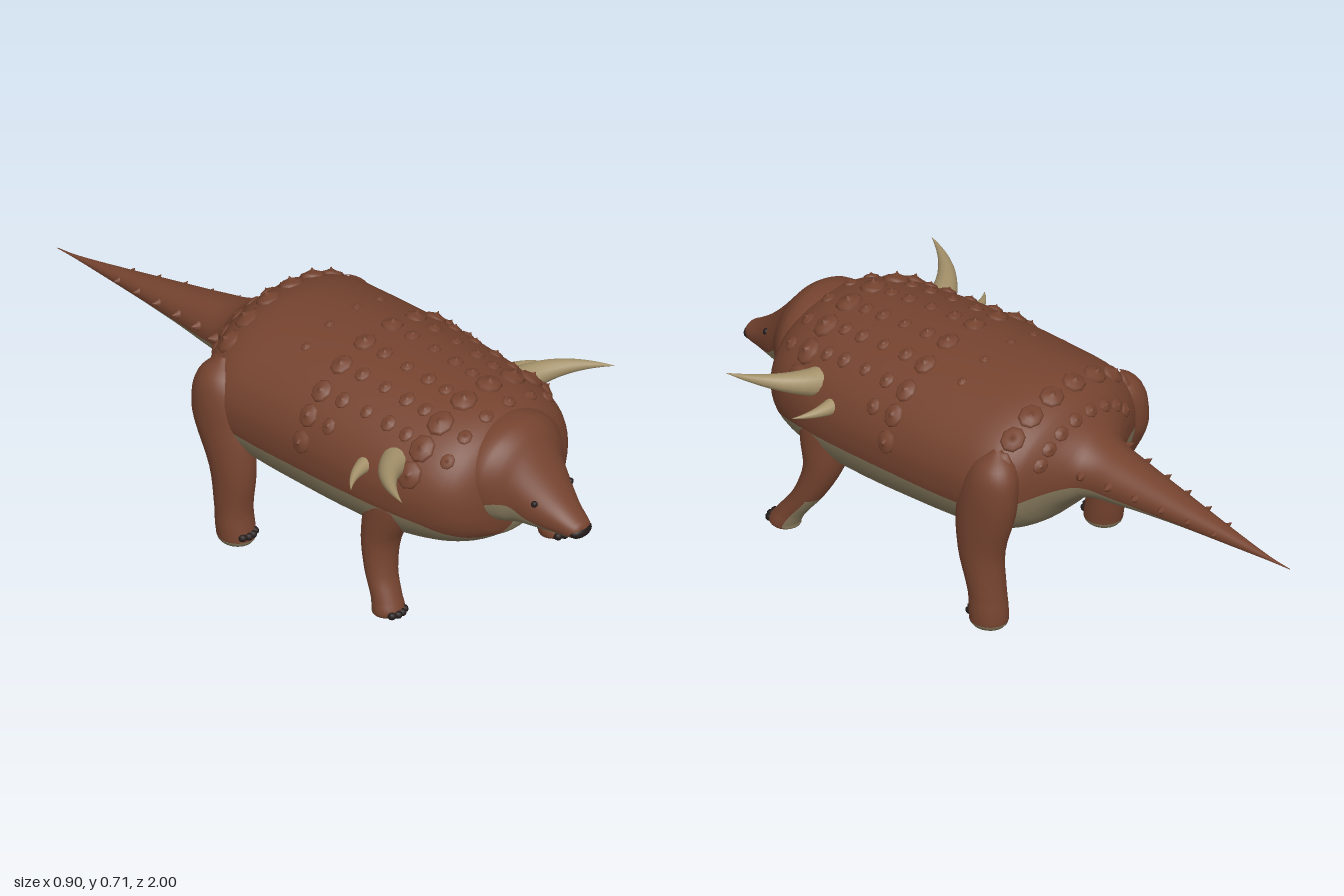
import * as THREE from 'three';

const mat = (name, color) => Object.assign(new THREE.MeshStandardMaterial({ color }), { name });
const hide = mat('brown hide', 0x75432f);
const belly = mat('tan underside', 0x85785c);
const horn = mat('pale horn', 0xa39069);
const dark = mat('dark claw', 0x241b1a);

// Skin a list of closed rings; quads chosen by isTan get the underside colour
function loft(name, rings, isTan, mats = [hide, belly]) {
  const n = rings[0].length, idx = [[], []];
  for (let i = 0; i < rings.length - 1; i++) {
    for (let j = 0; j < n; j++) {
      const k = (j + 1) % n;
      const a = i * n + j, b = i * n + k, c = b + n, d = a + n;
      idx[isTan(i, j) ? 1 : 0].push(a, b, d, b, c, d);
    }
  }
  const geo = new THREE.BufferGeometry().setFromPoints(rings.flat());
  geo.setIndex([...idx[0], ...idx[1]]);
  geo.addGroup(0, idx[0].length, 0);
  geo.addGroup(idx[0].length, idx[1].length, 1);
  geo.computeVertexNormals();
  const mesh = new THREE.Mesh(geo, mats);
  mesh.name = name;
  return mesh;
}

// Smooth interpolation of table rows whose first column increases
function sample(rows, v) {
  let i = 0;
  while (i < rows.length - 2 && rows[i + 1][0] < v) i++;
  const slope = (k, c) => {
    const a = rows[Math.max(k - 1, 0)], b = rows[Math.min(k + 1, rows.length - 1)];
    return (b[c] - a[c]) / (b[0] - a[0]);
  };
  const p = rows[i], q = rows[i + 1], h = q[0] - p[0], t = (v - p[0]) / h;
  const t2 = t * t, t3 = t2 * t;
  return p.map((_, c) => c === 0 ? v :
    (2 * t3 - 3 * t2 + 1) * p[c] + (t3 - 2 * t2 + t) * h * slope(i, c) +
    (3 * t2 - 2 * t3) * q[c] + (t3 - t2) * h * slope(i + 1, c));
}

// Subdivide a table of rows
function refine(rows, steps) {
  const out = [];
  for (let i = 0; i < rows.length - 1; i++) {
    for (let s = 0; s < steps; s++) {
      out.push(sample(rows, rows[i][0] + (rows[i + 1][0] - rows[i][0]) * s / steps));
    }
  }
  out.push(rows[rows.length - 1]);
  return out;
}

// Rows: z, top, bottom, half width, height of the colour edge
const TORSO = [
  [-1, 0.413, 0.411, 0.001, 0.4115], [-0.93, 0.42, 0.41, 0.006, 0.412],
  [-0.8, 0.444, 0.407, 0.022, 0.413], [-0.6, 0.483, 0.404, 0.052, 0.424],
  [-0.4, 0.525, 0.39, 0.083, 0.435], [-0.3, 0.553, 0.375, 0.108, 0.44],
  [-0.25, 0.59, 0.345, 0.18, 0.435], [-0.2, 0.64, 0.285, 0.275, 0.42],
  [-0.12, 0.675, 0.245, 0.325, 0.4], [0, 0.688, 0.225, 0.333, 0.39],
  [0.2, 0.692, 0.215, 0.335, 0.39], [0.35, 0.685, 0.213, 0.333, 0.39],
  [0.5, 0.672, 0.218, 0.322, 0.385], [0.62, 0.655, 0.235, 0.295, 0.37],
  [0.7, 0.622, 0.258, 0.255, 0.335], [0.75, 0.56, 0.285, 0.19, 0.31],
  [0.77, 0.49, 0.31, 0.11, 0.32], [0.775, 0.4, 0.39, 0.005, 0.392],
];
const HEAD = [
  [0.6, 0.6, 0.37, 0.15, 0.4], [0.68, 0.628, 0.345, 0.178, 0.41],
  [0.74, 0.628, 0.338, 0.178, 0.43], [0.78, 0.605, 0.338, 0.15, 0.44],
  [0.81, 0.57, 0.34, 0.118, 0.43], [0.85, 0.52, 0.342, 0.097, 0.395],
  [0.89, 0.475, 0.344, 0.077, 0.375], [0.93, 0.437, 0.345, 0.058, 0.366],
  [0.97, 0.408, 0.347, 0.043, 0.36], [0.99, 0.395, 0.352, 0.03, 0.358],
  [1.0, 0.375, 0.366, 0.005, 0.368],
];

// Point on a section: rounded above, fuller below
function sectionPoint([z, top, bot, w], t, mid = 0.48) {
  const c = Math.cos(t), s = Math.sin(t), cy = bot + (top - bot) * mid;
  if (s >= 0) return new THREE.Vector3(w * c, cy + (top - cy) * s, z);
  const e = 0.82;
  return new THREE.Vector3(w * Math.sign(c) * Math.abs(c) ** e, cy - (cy - bot) * Math.abs(s) ** e, z);
}

function bodyLoft(name, rows) {
  const UP = 36, DOWN = 20;
  const rings = refine(rows, 4).map((r) => {
    const cy = r[2] + (r[1] - r[2]) * 0.48;
    const q = THREE.MathUtils.clamp((r[4] - cy) / (cy - r[2]), -0.97, 0.6);
    const a = q < 0 ? -Math.asin(Math.abs(q) ** (1 / 0.82)) : Math.asin(q);
    const ring = [];
    for (let j = 0; j < UP; j++) ring.push(sectionPoint(r, a + (Math.PI - 2 * a) * j / UP));
    for (let j = 0; j < DOWN; j++) ring.push(sectionPoint(r, Math.PI - a + (Math.PI + 2 * a) * j / DOWN));
    return ring;
  });
  return loft(name, rings, (i, j) => j >= UP);
}

// Horizontal leg sections: -y, x, z, x radius, z radius
const FRONT_LEG = [
  [-0.45, 0.25, 0.5, 0.02, 0.03], [-0.41, 0.25, 0.5, 0.06, 0.08], [-0.34, 0.255, 0.5, 0.066, 0.08],
  [-0.25, 0.265, 0.5, 0.06, 0.058], [-0.15, 0.283, 0.54, 0.05, 0.046], [-0.08, 0.297, 0.59, 0.046, 0.044],
  [-0.045, 0.302, 0.61, 0.048, 0.046], [-0.03, 0.302, 0.605, 0.036, 0.035], [-0.027, 0.302, 0.605, 0.002, 0.002],
];
const REAR_LEG = [
  [-0.58, 0.26, -0.14, 0.01, 0.01], [-0.54, 0.27, -0.14, 0.055, 0.06], [-0.48, 0.282, -0.135, 0.067, 0.085],
  [-0.38, 0.288, -0.12, 0.068, 0.095], [-0.25, 0.296, -0.11, 0.06, 0.073], [-0.12, 0.3, -0.135, 0.055, 0.056],
  [-0.05, 0.303, -0.143, 0.055, 0.058], [-0.018, 0.303, -0.143, 0.046, 0.05], [0, 0.303, -0.143, 0.002, 0.002],
];

function leg(name, rows, side, stride, tanRule) {
  const N = 24, g = new THREE.Group();
  g.name = name;
  const shift = (y) => stride * THREE.MathUtils.clamp((0.4 - y) / 0.36, 0, 1);
  const fine = refine(rows, 4);
  const rings = fine.map(([ny, x, z, rx, rz]) => Array.from({ length: N }, (_, j) => {
    const t = j / N * Math.PI * 2;
    return new THREE.Vector3(side * x + rx * Math.cos(t), -ny, z + shift(-ny) + rz * Math.sin(t));
  }));
  g.add(loft(name + 'Limb', rings, (i, j) => {
    const t = (j + 0.5) / N * Math.PI * 2;
    return tanRule(-fine[i][0], -side * Math.cos(t), Math.sin(t));
  }));
  // Claws
  const [ny, fx, fz, , fr] = rows[6];
  for (let k = 0; k < 4; k++) {
    const o = (k - 1.5) / 1.5;
    const claw = new THREE.Mesh(new THREE.SphereGeometry(0.012, 10, 8), dark);
    claw.name = 'claw';
    claw.position.set(side * fx + o * 0.026, -ny, fz + shift(-ny) + fr - 0.002 - 0.009 * o * o);
    claw.scale.z = 1.25;
    g.add(claw);
  }
  return g;
}

// Curved horn from base through a bend to the tip
function spike(name, pts, r, side) {
  const curve = new THREE.QuadraticBezierCurve3(...pts.map(([x, y, z]) => new THREE.Vector3(side * x, y, z)));
  const S = 10, N = 14, f = curve.computeFrenetFrames(S);
  const rings = Array.from({ length: S + 1 }, (_, i) => Array.from({ length: N }, (_, j) => {
    const t = j / N * Math.PI * 2, rr = r * (1 - i / S) + 0.0005;
    return curve.getPointAt(i / S)
      .addScaledVector(f.normals[i], rr * Math.cos(t)).addScaledVector(f.binormals[i], rr * Math.sin(t));
  }));
  return loft(name, rings, () => false, [horn, horn]);
}

// Low keeled plate
const PLATE = new THREE.LatheGeometry(
  [[1, -0.3], [1, 0.05], [0.85, 0.24], [0.45, 0.36], [0.14, 0.5], [0, 0.72]].map(([x, y]) => new THREE.Vector2(x, y)), 8);
const THORN = new THREE.ConeGeometry(1, 2.2, 8).translate(0, 0.7, 0);

function onTorso(name, geo, z, deg, r) {
  const t = Math.PI / 2 - THREE.MathUtils.degToRad(deg), d = 0.01;
  const at = (zz, tt) => sectionPoint(sample(TORSO, zz), tt);
  const du = at(z, t + d).sub(at(z, t - d)), dv = at(z + d, t).sub(at(z - d, t));
  const m = new THREE.Mesh(geo, hide);
  m.name = name;
  m.position.copy(at(z, t));
  m.quaternion.setFromUnitVectors(new THREE.Vector3(0, 1, 0), du.cross(dv).normalize());
  m.scale.set(r, r * 0.8, r * 0.85);
  return m;
}

export function createModel() {
  const model = new THREE.Group();
  model.name = 'armouredReptile';
  model.add(bodyLoft('torsoAndTail', TORSO), bodyLoft('head', HEAD));

  // Nose
  const nose = new THREE.Mesh(new THREE.SphereGeometry(1, 20, 14), dark);
  nose.name = 'nose';
  nose.position.set(0, 0.369, 0.978);
  nose.scale.set(0.041, 0.021, 0.024);
  model.add(nose);

  // Rows of back plates: z, radius, angles from the spine
  const rows = [
    [0.665, 0.024, [10, 30, 50]], [0.585, 0.043, [10, 30, 49, 68]], [0.52, 0.024, [10, 27, 45]],
    [0.455, 0.026, [10, 27, 44]], [0.375, 0.022, [10, 27, 44]], [0.29, 0.026, [10, 27, 45, 62]],
    [0.215, 0.036, [10, 28, 46, 62, 80]], [0.08, 0.016, [10, 28]], [-0.16, 0.04, [9, 27, 45, 64]],
    [-0.235, 0.025, [9, 27, 45, 63]],
  ];
  for (const s of [1, -1]) {
    for (const [z, r, angles] of rows) {
      for (const a of angles) model.add(onTorso('backPlate', PLATE, z, s * a, r));
    }
    // Tail thorns
    for (let i = 0; i < 6; i++) model.add(onTorso('tailThorn', THORN, -0.31 - i * 0.087, s * 78, 0.019 - i * 0.0015));

    // Shoulder horns
    model.add(spike('largeShoulderHorn', [[0.27, 0.53, 0.52], [0.385, 0.555, 0.56], [0.45, 0.57, 0.705]], 0.043, s));
    model.add(spike('smallShoulderHorn', [[0.3, 0.5, 0.435], [0.37, 0.5, 0.44], [0.42, 0.495, 0.485]], 0.025, s));

    // Eyes
    const eye = new THREE.Mesh(new THREE.SphereGeometry(0.01, 12, 8), dark);
    eye.name = 'eye';
    eye.position.set(s * 0.076, 0.447, 0.872);
    model.add(eye);

    // Legs in mid stride
    const label = s > 0 ? 'left' : 'right';
    model.add(leg(label + 'FrontLeg', FRONT_LEG, s, s > 0 ? 0 : -0.09,
      (y, inner, fwd) => y < 0.033 || (y < 0.17 && fwd < -0.45)));
    model.add(leg(label + 'RearLeg', REAR_LEG, s, s > 0 ? 0 : 0.09,
      (y, inner) => y < 0.035 || (y > 0.2 && y < 0.4 && inner > 0.55)));
  }
  return model;
}
